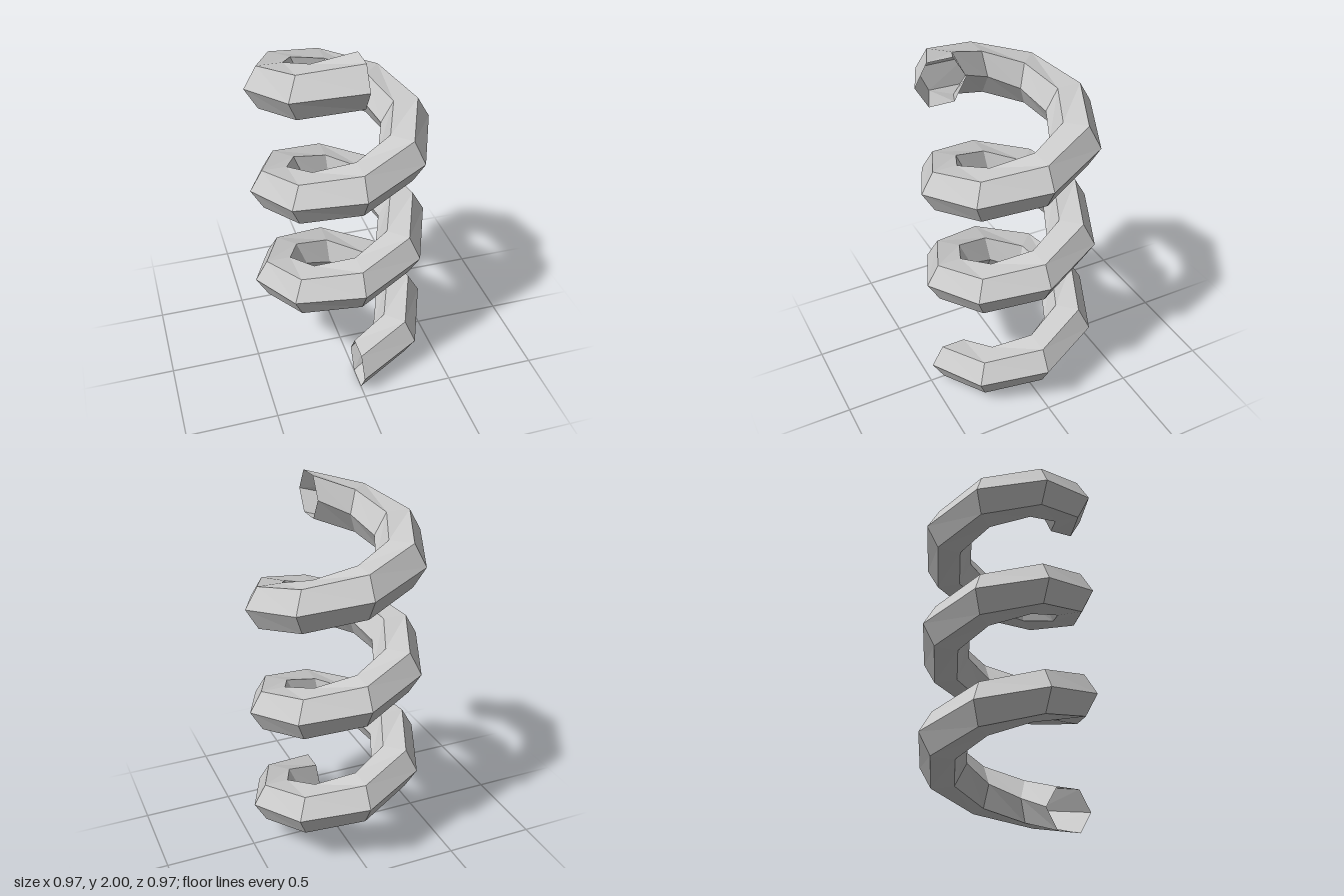
import * as THREE from 'three';

const TURNS = 3, STEPS = 8, SIDES = 6;
const COIL_RADIUS = 0.3525, TUBE_RADIUS = 0.1325, PITCH = 0.59;

// Open hexagonal tube swept along a helix, each section upright in its radial plane
function coilGeometry() {
  const positions = [], index = [];
  const baseY = TUBE_RADIUS * Math.sin(Math.PI / 3);
  for (let i = 0; i <= TURNS * STEPS; i++) {
    const turn = i / STEPS, t = turn * Math.PI * 2;
    for (let j = 0; j < SIDES; j++) {
      const a = (j / SIDES) * Math.PI * 2;
      const r = COIL_RADIUS + TUBE_RADIUS * Math.cos(a);
      positions.push(r * Math.sin(t), baseY + turn * PITCH + TUBE_RADIUS * Math.sin(a), r * Math.cos(t));
    }
  }
  for (let i = 0; i < TURNS * STEPS; i++) {
    for (let j = 0; j < SIDES; j++) {
      const k = (j + 1) % SIDES;
      const a = i * SIDES + j, b = a + SIDES, c = i * SIDES + k, d = c + SIDES;
      index.push(a, b, c, b, d, c);
    }
  }
  const geometry = new THREE.BufferGeometry();
  geometry.setAttribute('position', new THREE.Float32BufferAttribute(positions, 3));
  geometry.setIndex(index);
  const flat = geometry.toNonIndexed();
  flat.computeVertexNormals();
  return flat;
}

export function createModel() {
  const group = new THREE.Group();
  group.name = 'coilSpring';
  // Double-sided because both ends of the tube are open
  const material = new THREE.MeshStandardMaterial({
    color: 0xcccccc, flatShading: true, side: THREE.DoubleSide,
  });
  const coil = new THREE.Mesh(coilGeometry(), material);
  coil.name = 'coil';
  group.add(coil);
  return group;
}
